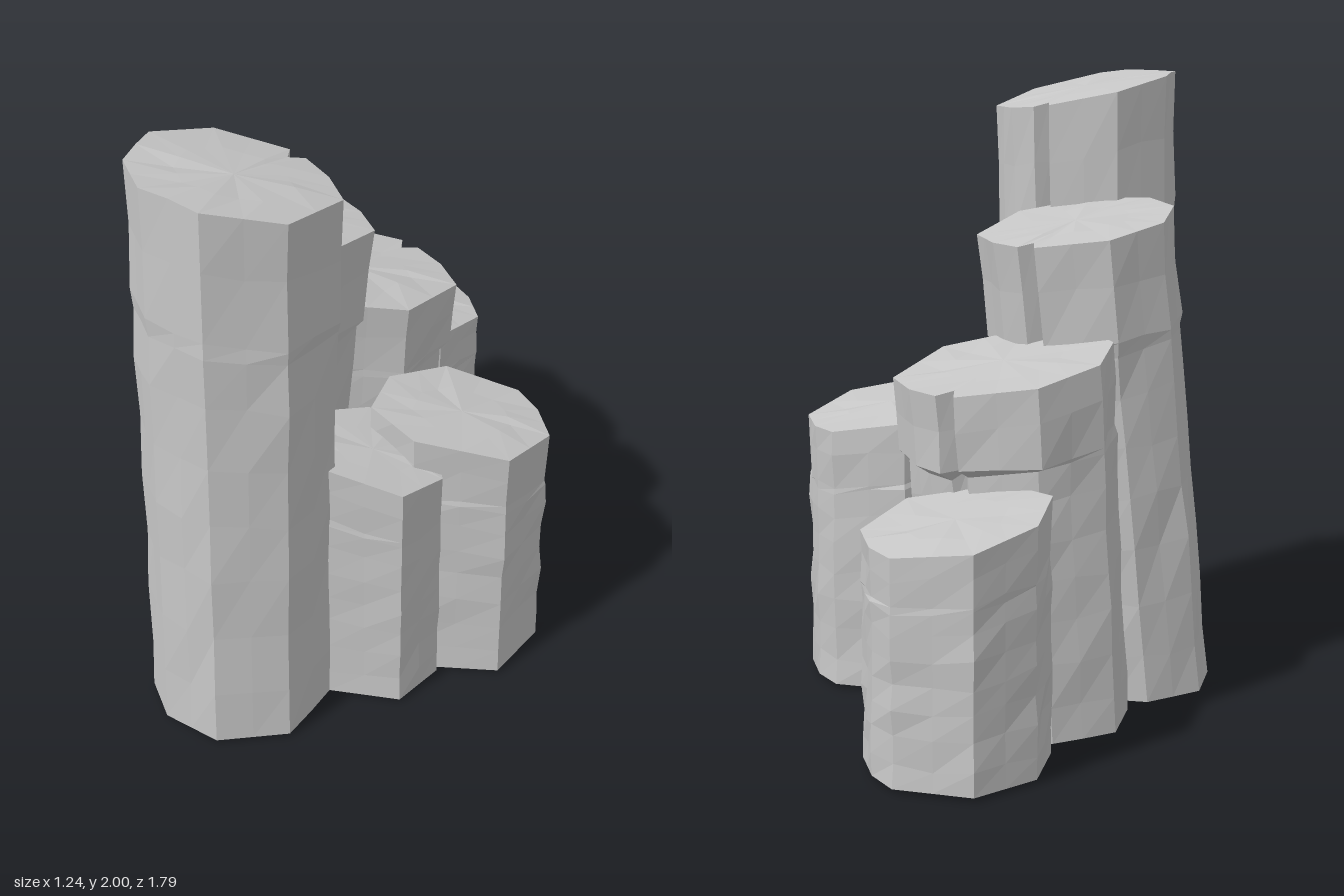
import * as THREE from 'three';

// Small seeded random, returns -1..1
function makeRandom(seed) {
  let s = seed;
  return () => {
    s = (s * 16807) % 2147483647;
    return (s / 2147483647) * 2 - 1;
  };
}

// Two cross-sections, clockwise from the back as seen from above; the first has a split back rim
const BACK = -0.27;
const SPLIT = [[-0.03, BACK], [0, -0.225], [0.03, BACK], [0.14, -0.24], [0.25, -0.17], [0.265, 0.08],
  [0.1, 0.25], [-0.1, 0.27], [-0.235, 0.19], [-0.3, 0.02], [-0.23, -0.17]];
const PLAIN = [[0.03, BACK], [0.14, -0.225], [0.25, -0.13], [0.255, 0.1], [0.01, 0.265], [-0.19, 0.225],
  [-0.27, 0.03], [-0.2, -0.185]];

// height and slope: tilted top; shift: offset of the foot;
// recess: how far the back of the shaft sits under the overhanging top block
const COLUMNS = [
  { name: 'tallestColumn', outline: SPLIT, x: 0, z: 0.57, size: 1, turn: 0, height: 1.95, slope: -0.12, shift: [-0.01, 0.05], recess: 0.06 },
  { name: 'secondColumn', outline: SPLIT, x: -0.22, z: 0.172, size: 1.04, turn: 0, height: 1.545, slope: -0.03, shift: [-0.09, 0.13], recess: 0.08 },
  { name: 'thirdColumn', outline: SPLIT, x: -0.215, z: -0.22, size: 1.12, turn: 0, height: 1.15, slope: -0.05, shift: [-0.04, 0.05], recess: 0.15 },
  { name: 'backColumn', outline: PLAIN, x: -0.33, z: -0.625, size: 1, turn: 0, height: 0.755, slope: -0.05, shift: [0, 0], recess: 0 },
  { name: 'sideColumn', outline: PLAIN, x: 0.36, z: -0.05, size: 1, turn: 0, height: 0.925, slope: -0.1, shift: [0, 0], recess: 0 },
  { name: 'smallColumn', outline: PLAIN, x: 0.245, z: 0.26, size: 0.8, turn: 0.1, height: 0.91, slope: -0.22, shift: [0, 0], recess: 0 },
];

const ROWS = [0, 0.1, 0.22, 0.34, 0.45, 0.56, 0.67, 0.76, 0.785, 0.9, 1];
const FOOT = 0.012;

// Turned and scaled outline with a midpoint on every long edge
function columnOutline({ outline, size, turn }) {
  const points = [];
  outline.forEach((p, i) => {
    const q = outline[(i + 1) % outline.length];
    points.push(p);
    if (Math.hypot(q[0] - p[0], q[1] - p[1]) > 0.13) points.push([(p[0] + q[0]) / 2, (p[1] + q[1]) / 2]);
  });
  const c = Math.cos(turn) * size, s = Math.sin(turn) * size;
  return points.map(([x, z]) => [x * c - z * s, x * s + z * c]);
}

function columnGeometry(column, seed) {
  const rnd = makeRandom(seed);
  const { x: cx, z: cz, height, slope, shift, recess } = column;
  const points = columnOutline(column);
  const topAt = (dx, dz) => Math.min(2, height + slope * dx + 0.2 * dz);

  // Cross-sections from the foot to the tilted top
  const rings = ROWS.map((t) => points.map(([dx, dz]) => {
    const edge = t === 0 || t === 1;
    const inset = t < 0.77 ? recess * Math.max(0, dz / BACK) : 0;
    const scale = 1 - inset + (edge ? 0 : rnd() * 0.02 - 0.008);
    const y = FOOT + (topAt(dx, dz) - FOOT) * t + (edge ? 0 : rnd() * 0.01);
    return new THREE.Vector3(cx + dx * scale + shift[0] * (1 - t), y, cz + dz * scale + shift[1] * (1 - t));
  }));

  const positions = [];
  const tri = (...corners) => corners.forEach((v) => positions.push(v.x, v.y, v.z));
  const n = points.length;
  const last = rings.length - 1;
  const footCenter = new THREE.Vector3(cx + shift[0], 0, cz + shift[1]);
  const topCenter = new THREE.Vector3(cx, topAt(0, 0) + 0.004, cz);

  // Slightly uneven ring inside the top face
  const inner = rings[last].map((v) => {
    const m = v.clone().lerp(topCenter, 0.45);
    m.y = Math.min(2, m.y + rnd() * 0.005);
    return m;
  });

  for (let i = 0; i < n; i++) {
    const j = (i + 1) % n;
    // Shaft
    for (let r = 0; r < last; r++) {
      const a = rings[r], b = rings[r + 1];
      tri(a[j], a[i], b[i]);
      tri(a[j], b[i], b[j]);
    }
    // Underside and top
    tri(footCenter, rings[0][i], rings[0][j]);
    tri(rings[last][j], rings[last][i], inner[i]);
    tri(rings[last][j], inner[i], inner[j]);
    tri(topCenter, inner[j], inner[i]);
  }

  const geometry = new THREE.BufferGeometry();
  geometry.setAttribute('position', new THREE.Float32BufferAttribute(positions, 3));
  geometry.computeVertexNormals();
  return geometry;
}

export function createModel() {
  const group = new THREE.Group();
  group.name = 'rockColumns';
  const rock = new THREE.MeshStandardMaterial({ color: 0xc6c6c6, flatShading: true });
  rock.name = 'rockGrey';

  COLUMNS.forEach((column, i) => {
    const mesh = new THREE.Mesh(columnGeometry(column, 101 + i * 977), rock);
    mesh.name = column.name;
    group.add(mesh);
  });
  return group;
}
